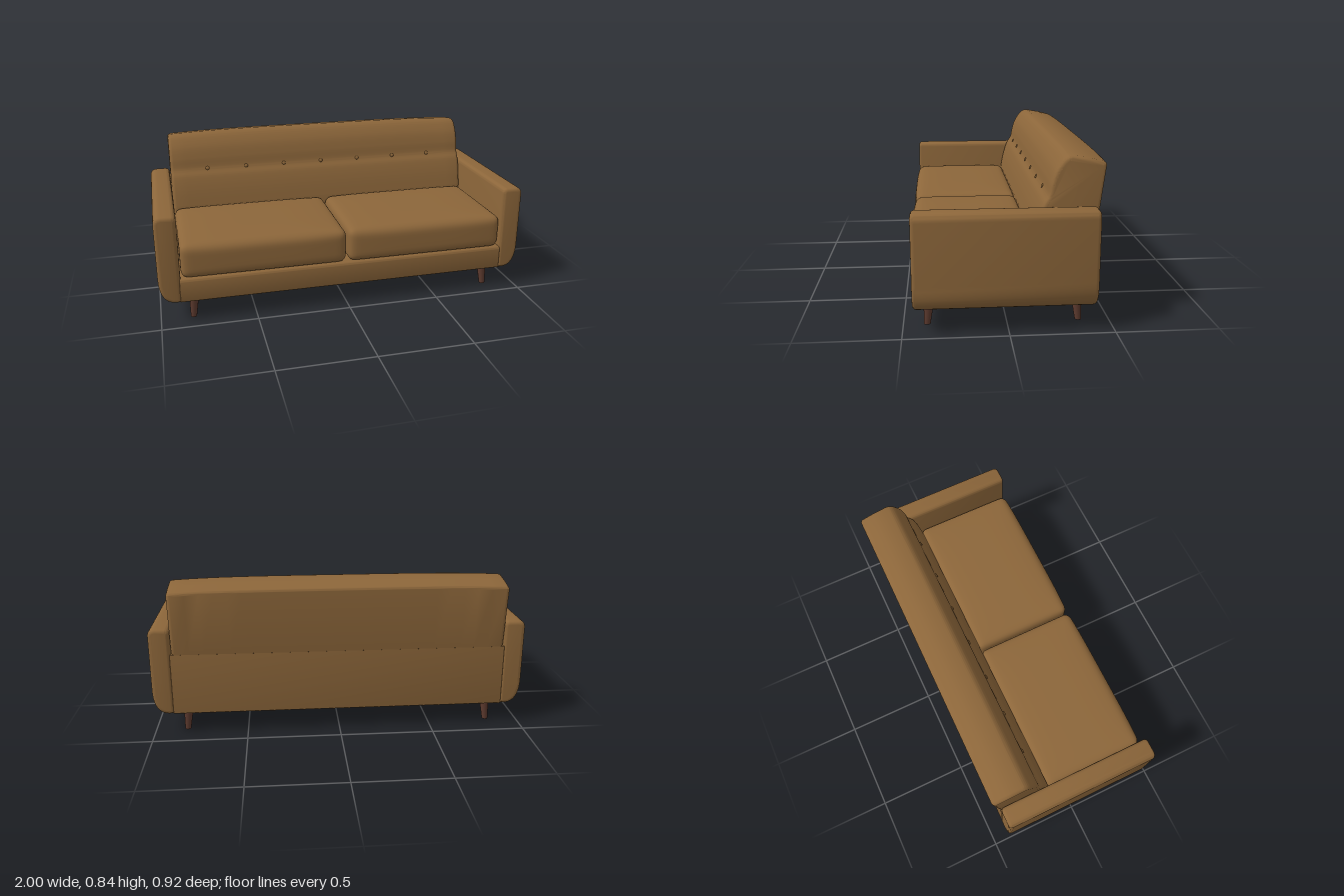
import * as THREE from 'three';
import { mergeVertices, toCreasedNormals } from 'three/addons/utils/BufferGeometryUtils.js';

const fabric = new THREE.MeshStandardMaterial({ color: 0x8c663a });
fabric.name = 'tan upholstery';
const wood = new THREE.MeshStandardMaterial({ color: 0x5e3b2f });
wood.name = 'dark wood';

function addMesh(parent, name, geometry, material = fabric) {
  const mesh = new THREE.Mesh(geometry, material);
  mesh.name = name;
  parent.add(mesh);
  return mesh;
}

// Move every vertex of a geometry by a rule
function reshape(geometry, rule) {
  const pos = geometry.attributes.position;
  const p = new THREE.Vector3();
  for (let i = 0; i < pos.count; i++) {
    rule(p.fromBufferAttribute(pos, i));
    pos.setXYZ(i, p.x, p.y, p.z);
  }
  return geometry;
}

// Extrude with rounded end edges that stay inside the outline, centred on its depth
function softExtrude(shape, length, bevel, steps = 1) {
  const geo = new THREE.ExtrudeGeometry(shape, {
    depth: length - 2 * bevel, steps, curveSegments: 10,
    bevelThickness: bevel, bevelSize: bevel, bevelOffset: -bevel, bevelSegments: 4,
  });
  return geo.translate(0, 0, bevel - length / 2);
}

// Plump cushion: a rounded box whose top and front swell towards the middle
function cushionGeometry(w, h, d, r, crown, puff) {
  const geo = new THREE.BoxGeometry(w, h, d, 28, 16, 28);
  geo.deleteAttribute('normal');
  geo.deleteAttribute('uv');
  const half = new THREE.Vector3(w / 2, h / 2, d / 2);
  const inner = half.clone().subScalar(r);
  const low = inner.clone().negate();
  const core = new THREE.Vector3();
  reshape(geo, (p) => {
    // crowd the grid towards the edges, then round them
    for (const a of ['x', 'y', 'z']) p[a] = half[a] * Math.sin((p[a] / half[a]) * Math.PI / 2);
    core.copy(p).clamp(low, inner);
    p.sub(core).setLength(r).add(core);
    const u = 1 - (p.x / half.x) ** 4;
    const v = 1 - (p.y / half.y) ** 4;
    const t = 1 - (p.z / half.z) ** 4;
    const up = p.y / half.y;
    const front = p.z / half.z;
    if (up > 0) p.y += crown * u * t * up;
    if (front > 0) p.z += puff * u * v * front;
  });
  const merged = mergeVertices(geo, 1e-5);
  merged.computeVertexNormals();
  return merged;
}

// Tapered leg whose foot is shifted outwards
function legGeometry(topR, footR, height, dx, dz) {
  const geo = new THREE.CylinderGeometry(topR, footR, height, 16);
  return reshape(geo, (p) => {
    const k = 0.5 - p.y / height;
    p.x += dx * k;
    p.z += dz * k;
  });
}

export function createModel() {
  const sofa = new THREE.Group();
  sofa.name = 'sofa';

  // Seat base and lower back panel, one L-shaped section (z, y)
  const baseShape = new THREE.Shape();
  baseShape.moveTo(-0.415, 0.125);
  baseShape.quadraticCurveTo(-0.415, 0.115, -0.405, 0.115);
  baseShape.lineTo(0.435, 0.115);
  baseShape.quadraticCurveTo(0.45, 0.115, 0.45, 0.13);
  baseShape.lineTo(0.45, 0.225);
  baseShape.quadraticCurveTo(0.45, 0.247, 0.428, 0.247);
  baseShape.lineTo(-0.25, 0.247);
  baseShape.lineTo(-0.25, 0.45);
  baseShape.lineTo(-0.415, 0.45);
  const base = softExtrude(baseShape, 1.786, 0.004).rotateY(-Math.PI / 2);
  addMesh(sofa, 'seatBase', toCreasedNormals(base, 0.6));

  // Sloping backrest with a soft rolled top (z, y)
  const backShape = new THREE.Shape();
  backShape.moveTo(-0.417, 0.45);
  backShape.lineTo(-0.2, 0.36);
  backShape.lineTo(-0.125, 0.36);
  backShape.lineTo(-0.122, 0.43);
  backShape.splineThru([
    [-0.14, 0.52], [-0.163, 0.594], [-0.188, 0.638], [-0.2, 0.7], [-0.219, 0.761],
    [-0.249, 0.81], [-0.274, 0.831], [-0.298, 0.836],
  ].map(([z, y]) => new THREE.Vector2(z, y)));
  backShape.lineTo(-0.38, 0.822);
  backShape.lineTo(-0.442, 0.806);
  backShape.quadraticCurveTo(-0.458, 0.802, -0.457, 0.786);
  const back = softExtrude(backShape, 1.77, 0.02, 24).rotateY(-Math.PI / 2);
  reshape(back, (p) => {
    // top edge dips slightly towards both ends
    p.y -= 0.014 * (p.x / 0.885) ** 4 * THREE.MathUtils.smoothstep(p.y, 0.6, 0.82);
  });
  addMesh(sofa, 'backrest', toCreasedNormals(back, 0.6));

  // Row of buttons across the backrest
  const buttons = new THREE.Group();
  buttons.name = 'buttons';
  sofa.add(buttons);
  for (let i = -3; i <= 3; i++) {
    const button = addMesh(buttons, 'button', new THREE.SphereGeometry(0.011, 14, 10));
    button.scale.z = 0.5;
    button.rotation.x = -0.3;
    button.position.set(i * 0.225, 0.637, -0.187);
  }

  // Arm outline (x, y): upright slab with a broad curve at the outer foot
  const armShape = new THREE.Shape();
  armShape.moveTo(0.886, 0.115);
  armShape.lineTo(0.92, 0.115);
  armShape.bezierCurveTo(0.968, 0.118, 1, 0.16, 1, 0.25);
  armShape.lineTo(1, 0.55);
  armShape.quadraticCurveTo(1, 0.59, 0.96, 0.59);
  armShape.lineTo(0.916, 0.59);
  armShape.quadraticCurveTo(0.886, 0.59, 0.886, 0.56);

  for (const side of [-1, 1]) {
    const label = side > 0 ? 'left' : 'right';

    const arm = softExtrude(armShape, 0.868, 0.02).translate(0, 0, 0.017);
    // the left arm is the outline itself; a half turn and flip in z makes the right
    if (side < 0) arm.rotateY(Math.PI).translate(0, 0, 0.034);
    addMesh(sofa, label + 'Arm', toCreasedNormals(arm, 0.6));

    const cushion = addMesh(sofa, label + 'SeatCushion',
      cushionGeometry(0.877, 0.186, 0.582, 0.04, 0.016, 0.01));
    cushion.position.set(side * 0.4435, 0.338, 0.161);

    // Corner legs splay outwards
    for (const [end, z] of [['Front', 0.375], ['Back', -0.341]]) {
      const leg = addMesh(sofa, label + end + 'Leg',
        legGeometry(0.026, 0.016, 0.12, side * 0.009, Math.sign(z) * 0.01), wood);
      leg.position.set(side * 0.821, 0.06, z);
    }
  }

  // Centre support leg
  const centreLeg = addMesh(sofa, 'centreLeg', legGeometry(0.024, 0.022, 0.115, 0, 0), wood);
  centreLeg.position.set(0, 0.0625, 0.014);

  return sofa;
}
